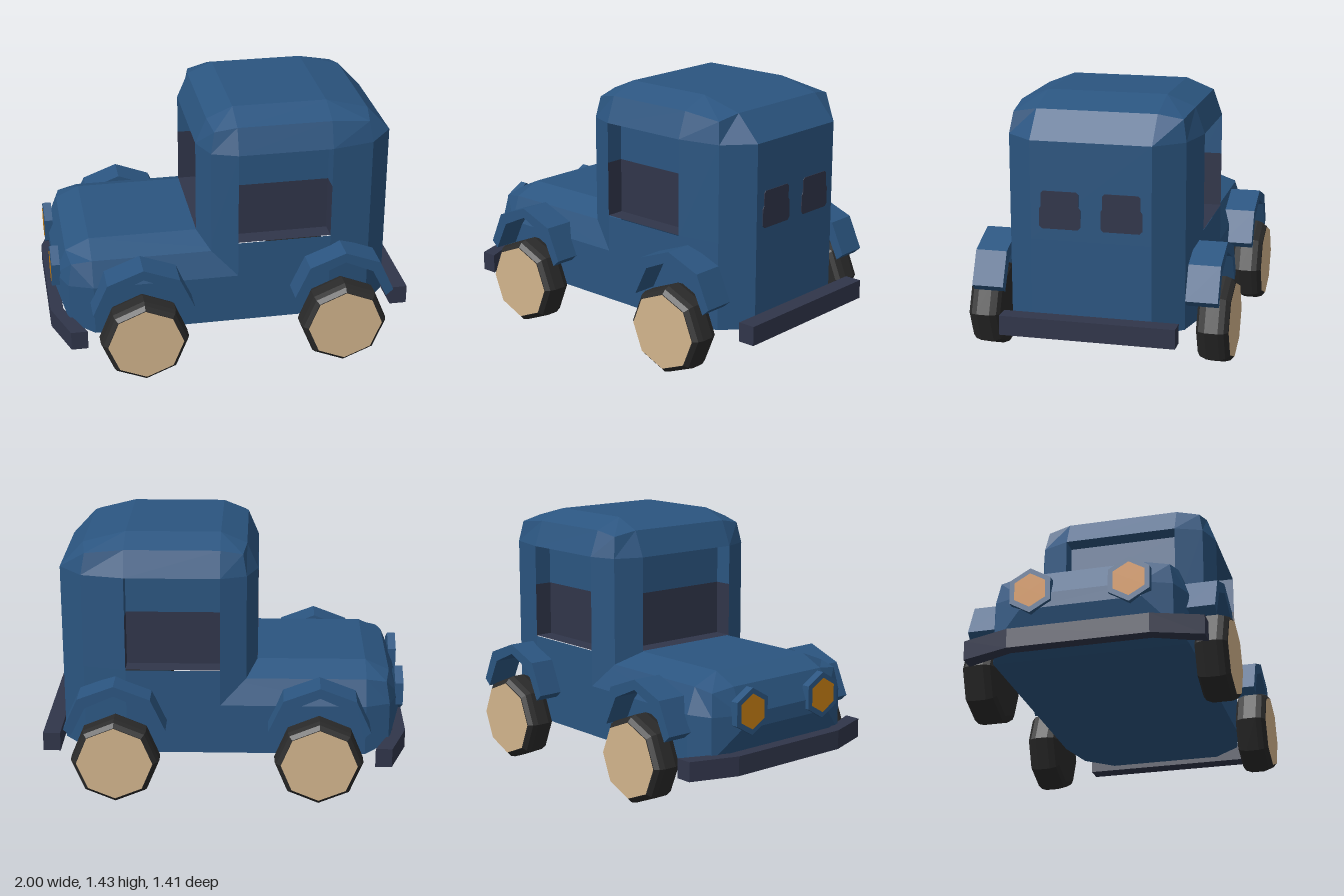
import * as THREE from 'three';

const paint = (name, color) => {
  const m = new THREE.MeshStandardMaterial({ color });
  m.name = name;
  return m;
};

// Faceted normals
function flat(geo) {
  const g = geo.index ? geo.toNonIndexed() : geo;
  g.computeVertexNormals();
  return g;
}

// Skin between rings of equal point count, capped at both ends
function loft(rings, skip = () => false) {
  const pos = [];
  const tri = (a, b, c) => {
    const A = new THREE.Vector3(...a), B = new THREE.Vector3(...b), C = new THREE.Vector3(...c);
    if (B.sub(A).cross(C.sub(A)).length() > 1e-7) pos.push(...a, ...b, ...c);
  };
  const n = rings[0].length;
  for (let k = 0; k < rings.length - 1; k++) {
    for (let i = 0; i < n; i++) {
      if (skip(k, i)) continue;
      const j = (i + 1) % n, lo = rings[k], hi = rings[k + 1];
      tri(lo[i], lo[j], hi[j]);
      tri(lo[i], hi[j], hi[i]);
    }
  }
  const first = rings[0], last = rings[rings.length - 1];
  for (let i = 1; i < n - 1; i++) {
    tri(first[0], first[i + 1], first[i]);
    tri(last[0], last[i], last[i + 1]);
  }
  const g = new THREE.BufferGeometry();
  g.setAttribute('position', new THREE.Float32BufferAttribute(pos, 3));
  g.computeVertexNormals();
  return g;
}

// Completes a ring from its +z half
const mirrorRing = (half) => [...half, ...half.map(([x, y, z]) => [x, y, -z]).reverse()];

const polygon = (pts) => new THREE.Shape(pts.map(([x, y]) => new THREE.Vector2(x, y)));
const extrude = (pts, depth) =>
  new THREE.ExtrudeGeometry(polygon(pts), { depth, bevelEnabled: false });

export function createModel() {
  const blue = paint('body blue', 0x2b5580);
  const dark = paint('dark trim', 0x30354a);
  const black = paint('tyre black', 0x2a2a2a);
  const tan = paint('hub tan', 0xd2b48c);
  const amber = paint('lamp amber', 0xc47c14);

  const model = new THREE.Group();
  model.name = 'car';
  const add = (name, geo, mat, parent = model) => {
    const m = new THREE.Mesh(geo, mat);
    m.name = name;
    parent.add(m);
    return m;
  };

  // Cab: upright walls with three window openings, then a rounded roof
  const plan = [[-0.18, 0.32], [-0.12, 0.47], [0.02, 0.52], [0.53, 0.52], [0.76, 0.47], [0.89, 0.32]];
  const wall = (y) => mirrorRing(plan.map(([x, z]) => [x, y, z]));
  const shoulder = mirrorRing([
    [-0.12, 1.37, 0.32], [-0.1, 1.345, 0.45], [0.02, 1.37, 0.47],
    [0.53, 1.37, 0.47], [0.74, 1.345, 0.45], [0.76, 1.37, 0.32],
  ]);
  const crown = mirrorRing([0.02, 0.02, 0.02, 0.53, 0.53, 0.53].map((x) => [x, 1.43, 0.32]));
  add('cab', loft([wall(0.23), wall(0.71), wall(1.23), shoulder, crown],
    (k, i) => k === 1 && [2, 8, 11].includes(i)), blue);

  // Window recesses: dark below the split line, body colour above
  function recess(name, w, x, z, turn) {
    const g = new THREE.Group();
    g.name = name;
    const y0 = 0.71, split = 1.01, y1 = 1.23, d = 0.1;
    for (const [lo, hi, mat] of [[y0, split, dark], [split, y1, blue]]) {
      const h = hi - lo, y = (lo + hi) / 2;
      add('windowPane', new THREE.PlaneGeometry(w, h).translate(0, y, -d), mat, g);
      for (const s of [-1, 1]) {
        add('windowJamb', new THREE.PlaneGeometry(d, h).rotateY(-s * Math.PI / 2)
          .translate(s * w / 2, y, -d / 2), mat, g);
      }
    }
    add('windowSill', new THREE.PlaneGeometry(w, d).rotateX(-Math.PI / 2)
      .translate(0, y0 + 0.004, -d / 2), dark, g);
    add('windowHead', new THREE.PlaneGeometry(w, d).rotateX(Math.PI / 2)
      .translate(0, y1, -d / 2), blue, g);
    g.position.set(x, 0, z);
    g.rotation.y = turn;
    model.add(g);
  }
  recess('sideWindowLeft', 0.51, 0.275, 0.52, 0);
  recess('sideWindowRight', 0.51, 0.275, -0.52, Math.PI);
  recess('windshield', 0.64, -0.18, 0, -Math.PI / 2);

  // Bonnet: constant section running into the cab, rounded at the nose
  const section = [[0.71, 0.32], [0.65, 0.47], [0.51, 0.52], [0.23, 0.52], [0.23, 0.32]];
  const station = (x) => mirrorRing(section.map(([y, z]) => [x, y, z]));
  const noseTip = mirrorRing([0.51, 0.51, 0.51, 0.43, 0.43].map((y) => [-0.96, y, 0.32]));
  const noseEdge = mirrorRing([
    [-0.9, 0.65, 0.32], [-0.88, 0.63, 0.45], [-0.9, 0.51, 0.47],
    [-0.9, 0.28, 0.47], [-0.9, 0.27, 0.32],
  ]);
  add('bonnet', loft([noseTip, noseEdge, station(-0.77), station(0.02)]), blue);

  // Rear windows: thin plates, slightly narrower at the top
  const halfPane = [[0.095, 0.77], [0.11, 0.785], [0.11, 0.875], [0.1, 0.89], [0.1, 0.958], [0.088, 0.97]];
  const pane = [...halfPane, ...halfPane.map(([x, y]) => [-x, y]).reverse()];
  for (const s of [-1, 1]) {
    add('rearWindow', extrude(pane, 0.006).rotateY(Math.PI / 2)
      .translate(0.888, 0, s * 0.163), dark);
  }

  // Headlights: six-sided housings with amber lenses
  for (const s of [-1, 1]) {
    add('headlight', flat(new THREE.CylinderGeometry(0.125, 0.125, 0.045, 6)
      .rotateY(Math.PI / 2).rotateZ(Math.PI / 2)).translate(-0.9575, 0.525, s * 0.26), blue);
    add('headlightLens', new THREE.CircleGeometry(0.095, 6)
      .rotateZ(Math.PI / 2).rotateY(-Math.PI / 2).translate(-0.983, 0.525, s * 0.26), amber);
  }

  // Bumpers: swept-back front bar, straight rear bar
  const halfBar = [[-0.82, 0.63], [-0.91, 0.63], [-1, 0.37]];
  const bar = [...halfBar, ...halfBar.map(([x, z]) => [x, -z]).reverse(), [-0.93, -0.37], [-0.93, 0.37]];
  add('frontBumper', extrude(bar, 0.105).rotateX(-Math.PI / 2).translate(0, 0.207, 0), dark);
  add('rearBumper', new THREE.BoxGeometry(0.095, 0.105, 0.935).translate(0.9525, 0.26, 0), dark);

  // Wheels and arched wings
  const tyreProfile = [[0, -0.085], [0.2, -0.085], [0.225, -0.07], [0.24, -0.035], [0.24, 0.035],
    [0.23, 0.065], [0.208, 0.085], [0, 0.085]].map(([r, y]) => new THREE.Vector2(r, y));
  const tyreGeo = flat(new THREE.LatheGeometry(tyreProfile, 8).rotateX(Math.PI / 2));
  const hubGeo = new THREE.CircleGeometry(0.206, 8).translate(0, 0, 0.088);
  const arch = [[-0.275, 0.42], [-0.235, 0.385], [-0.155, 0.545], [0, 0.615], [0.155, 0.545],
    [0.235, 0.385], [0.275, 0.42], [0.195, 0.595], [0, 0.67], [-0.195, 0.595]];
  const archGeo = extrude(arch, 0.17);
  for (const [end, x] of [['front', -0.515], ['rear', 0.585]]) {
    for (const s of [-1, 1]) {
      const wheel = new THREE.Group();
      wheel.name = end + 'Wheel';
      add('tyre', tyreGeo, black, wheel);
      add('hub', hubGeo, tan, wheel);
      wheel.position.set(x, 0.243, s * 0.619);
      wheel.rotation.y = s > 0 ? 0 : Math.PI;
      model.add(wheel);
      add(end + 'Wing', archGeo, blue).position.set(x, 0, s > 0 ? 0.49 : -0.66);
    }
  }
  return model;
}
